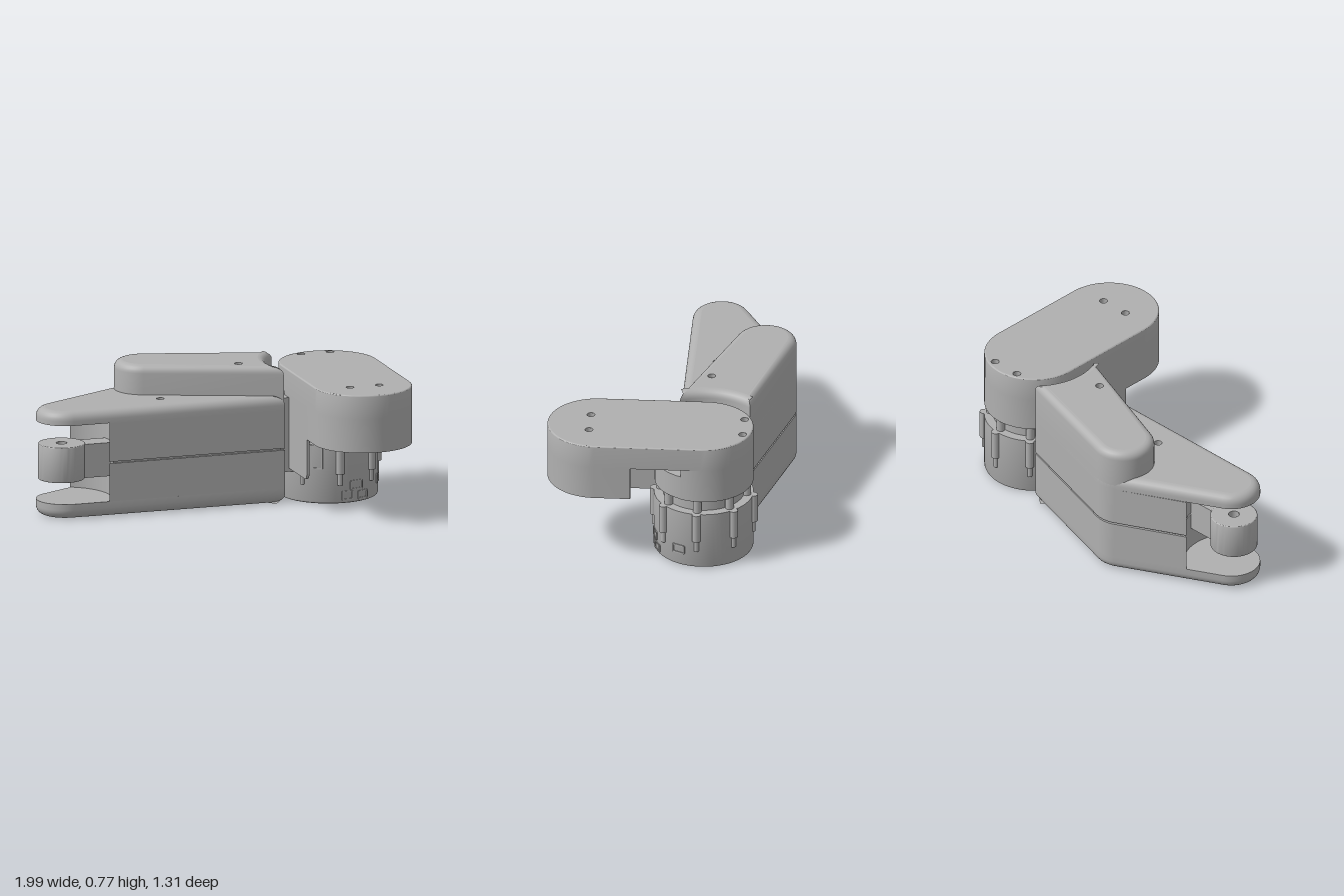
import * as THREE from 'three';
import { toCreasedNormals } from 'three/addons/utils/BufferGeometryUtils.js';

// Plan outlines use (x, v) with v = -z, counter-clockwise.
const rad = THREE.MathUtils.degToRad;
const MX = 0.695, MV = 0.21; // motor axis

function arc(cx, cv, r, a0, a1, n = 20) {
  const pts = [];
  for (let i = 0; i <= n; i++) {
    const a = rad(a0 + (a1 - a0) * i / n);
    pts.push(new THREE.Vector2(cx + r * Math.cos(a), cv + r * Math.sin(a)));
  }
  return pts;
}

// Move every outline point inward along its mitred normal
function inset(pts, d) {
  const n = pts.length;
  return pts.map((p, i) => {
    const e1 = p.clone().sub(pts[(i + n - 1) % n]).normalize();
    const e2 = pts[(i + 1) % n].clone().sub(p).normalize();
    const m = new THREE.Vector2(-e1.y - e2.y, e1.x + e2.x).normalize();
    const c = Math.max(0.6, m.x * -e1.y + m.y * e1.x);
    return p.clone().addScaledVector(m, d / c);
  });
}

export function createModel() {
  const model = new THREE.Group();
  model.name = 'armJoint';
  const grey = new THREE.MeshStandardMaterial({ color: 0xb0b0b0, side: THREE.DoubleSide });
  grey.name = 'grey';

  function add(name, geo, parent = model) {
    const mesh = new THREE.Mesh(geo, grey);
    mesh.name = name;
    parent.add(mesh);
    return mesh;
  }
  function flatCap(pts, holes, y, down) {
    const s = new THREE.Shape(pts);
    for (const [x, v, r] of holes) s.holes.push(new THREE.Path().absarc(x, v, r, 0, Math.PI * 2, true));
    const g = new THREE.ShapeGeometry(s, 16);
    g.rotateX(-Math.PI / 2).translate(0, y, 0);
    if (down) {
      const ix = g.index.array;
      for (let i = 0; i < ix.length; i += 3) [ix[i], ix[i + 1]] = [ix[i + 1], ix[i]];
      g.computeVertexNormals();
    }
    return g;
  }
  // Slab with optional rounded lower and upper rims and vertical holes
  function slab(name, pts, y0, y1, rb = 0, rt = 0, holes = []) {
    const group = new THREE.Group();
    group.name = name;
    model.add(group);
    const layers = [];
    const steps = 6;
    for (let i = 0; i <= steps; i++) {
      const a = i / steps * Math.PI / 2;
      if (rb || i === 0) layers.push([rb * (1 - Math.sin(a)), y0 + rb * (1 - Math.cos(a))]);
    }
    for (let i = 0; i <= steps; i++) {
      const a = i / steps * Math.PI / 2;
      if (rt || i === 0) layers.push([rt * (1 - Math.cos(a)), y1 - rt * (1 - Math.sin(a))]);
    }
    const pos = [], idx = [], n = pts.length;
    for (const [d, y] of layers) for (const p of inset(pts, d)) pos.push(p.x, y, -p.y);
    for (let l = 0; l < layers.length - 1; l++) {
      for (let i = 0; i < n; i++) {
        const a = l * n + i, b = l * n + (i + 1) % n;
        idx.push(a, b, b + n, a, b + n, a + n);
      }
    }
    const g = new THREE.BufferGeometry();
    g.setAttribute('position', new THREE.Float32BufferAttribute(pos, 3));
    g.setIndex(idx);
    add('rim', toCreasedNormals(g, rad(35)), group);
    add('upperFace', flatCap(inset(pts, rt), holes, y1, false), group);
    add('lowerFace', flatCap(inset(pts, rb), holes, y0, true), group);
    for (const [x, v, r] of holes) {
      add('bore', new THREE.CylinderGeometry(r, r, y1 - y0, 16, 1, true).translate(x, (y0 + y1) / 2, -v), group);
    }
  }
  function extrude(name, pts, y0, y1) {
    const g = new THREE.ExtrudeGeometry(new THREE.Shape(pts), { depth: y1 - y0, bevelEnabled: false });
    g.rotateX(-Math.PI / 2).translate(0, y0, 0);
    return add(name, toCreasedNormals(g, rad(35)));
  }
  function drum(name, r, y0, y1, x = MX, v = MV) {
    return add(name, new THREE.CylinderGeometry(r, r, y1 - y0, 64).translate(x, (y0 + y1) / 2, -v));
  }

  // Arm housing: full plan for the fork plates, cut-back plan between them
  const motorEnd = arc(MX, MV, 0.345, 207.6, 136);
  const backCorner = arc(-0.28, 0.49, 0.17, 75, 116.6, 10);
  const full = [...motorEnd, ...backCorner, ...arc(-0.84, 0.21, 0.16, 116.6, 270)];
  const core = [...motorEnd, ...backCorner, ...arc(-0.85, 0.21, 0.27, 63.5, -36.3)];
  const armHoles = [[-0.28, 0.22, 0.022], [0.175, 0.22, 0.022]];
  const throughHole = [armHoles[1]];
  slab('lowerForkPlate', full, 0, 0.085, 0.05, 0, armHoles);
  slab('lowerArmHousing', core, 0.085, 0.3, 0, 0, throughHole);
  slab('housingSeam', inset(core, 0.015), 0.3, 0.31, 0, 0, throughHole);
  slab('upperArmHousing', core, 0.31, 0.53, 0, 0, throughHole);
  slab('upperForkPlate', full, 0.53, 0.605, 0, 0.05, armHoles);

  // Raised cover over the back of the arm
  const cover = [...arc(MX, MV, 0.345, 206, 136), ...arc(-0.28, 0.49, 0.17, 75, 249)];
  slab('raisedCover', cover, 0.54, 0.77, 0, 0.045, throughHole);

  // Pivot between the fork plates
  slab('pivotDrum', arc(-0.86, 0.21, 0.13, 0, 354, 59), 0.2, 0.4, 0.005, 0.005, [[-0.86, 0.21, 0.03]]);
  add('pivotLink', new THREE.BoxGeometry(0.2, 0.19, 0.12).translate(-0.65, 0.3, -0.21));

  // Link between arm and motor
  add('motorLink', new THREE.BoxGeometry(0.14, 0.42, 0.28).translate(0.42, 0.38, -0.215));

  // Motor
  const profile = [[0, 0], [0.262, 0], [0.271, 0.004], [0.275, 0.013], [0.275, 0.335], [0, 0.335]]
    .map(p => new THREE.Vector2(...p));
  add('motorBase', toCreasedNormals(new THREE.LatheGeometry(profile, 72), rad(35)).translate(MX, 0, -MV));
  drum('motorNeck', 0.225, 0.335, 0.42);
  drum('motorHead', 0.272, 0.415, 0.555);
  drum('motorHub', 0.2, 0.555, 0.61);
  for (let i = 0; i < 8; i++) {
    const a = rad(-5 + 45 * i);
    const at = r => [MX + r * Math.cos(a), MV + r * Math.sin(a)];
    const rib = (name, r, w, y0, y1) => {
      const [x, v] = at(r);
      add(name, new THREE.CylinderGeometry(w, w, y1 - y0, 16).translate(x, (y0 + y1) / 2, -v));
    };
    rib('motorRib', 0.277, 0.024, 0.17, 0.335);
    rib('motorScrew', 0.275, 0.014, 0.105, 0.17);
    rib('motorPost', 0.24, 0.024, 0.335, 0.42);
  }

  // Socket frames: angle, height, width, tall
  const sockets = [[-74, 0.1, 0.075, 0.045], [-86, 0.045, 0.06, 0.045], [-65, 0.04, 0.065, 0.04],
    [-27, 0.1, 0.07, 0.045], [-122, 0.265, 0.06, 0.13]];
  for (const [deg, y, w, h] of sockets) {
    const frame = new THREE.Group();
    frame.name = 'socketFrame';
    frame.position.set(MX + 0.274 * Math.cos(rad(deg)), y, -MV - 0.274 * Math.sin(rad(deg)));
    frame.rotation.y = rad(deg + 90);
    model.add(frame);
    for (const s of [-1, 1]) {
      add('sideBar', new THREE.BoxGeometry(0.008, h, 0.009).translate(s * w / 2, 0, 0), frame);
      add('crossBar', new THREE.BoxGeometry(w, 0.008, 0.009).translate(0, s * h / 2, 0), frame);
    }
  }

  // Bracket: long rounded top with walls hanging below it
  const longRound = [...arc(MX, MV, 0.275, 0, 180, 32), ...arc(MX, -0.38, 0.275, 180, 360, 32)];
  const bracketHoles = [];
  for (const v of [0.43, -0.42]) for (const x of [0.61, 0.78]) bracketHoles.push([x, v, 0.022]);
  slab('bracketTop', longRound, 0.61, 0.745, 0, 0.008, bracketHoles);
  const v0 = -0.18;
  extrude('bracketFrontWall', [
    new THREE.Vector2(MX - 0.275, v0), ...arc(MX, -0.38, 0.275, 180, 360, 32),
    new THREE.Vector2(MX + 0.275, v0), new THREE.Vector2(MX + 0.255, v0),
    ...arc(MX, -0.38, 0.255, 360, 180, 32), new THREE.Vector2(MX - 0.255, v0)], 0.42, 0.612);
  extrude('bracketRearWall', [...arc(MX, MV, 0.275, -24, 204, 40), ...arc(MX, MV, 0.255, 204, -24, 40)], 0.415, 0.612);

  // Flap on the inner side of the bracket, drawn as (v, y)
  const flap = new THREE.Shape([new THREE.Vector2(0.15, 0.19), new THREE.Vector2(0.15, 0.612),
    new THREE.Vector2(-0.235, 0.612), ...arc(-0.2, 0.225, 0.035, 180, 270, 8)]);
  const flapGeo = new THREE.ExtrudeGeometry(flap, { depth: 0.015, bevelEnabled: false });
  flapGeo.rotateY(Math.PI / 2).translate(0.42, 0, 0);
  add('bracketFlap', flapGeo);

  return model;
}
